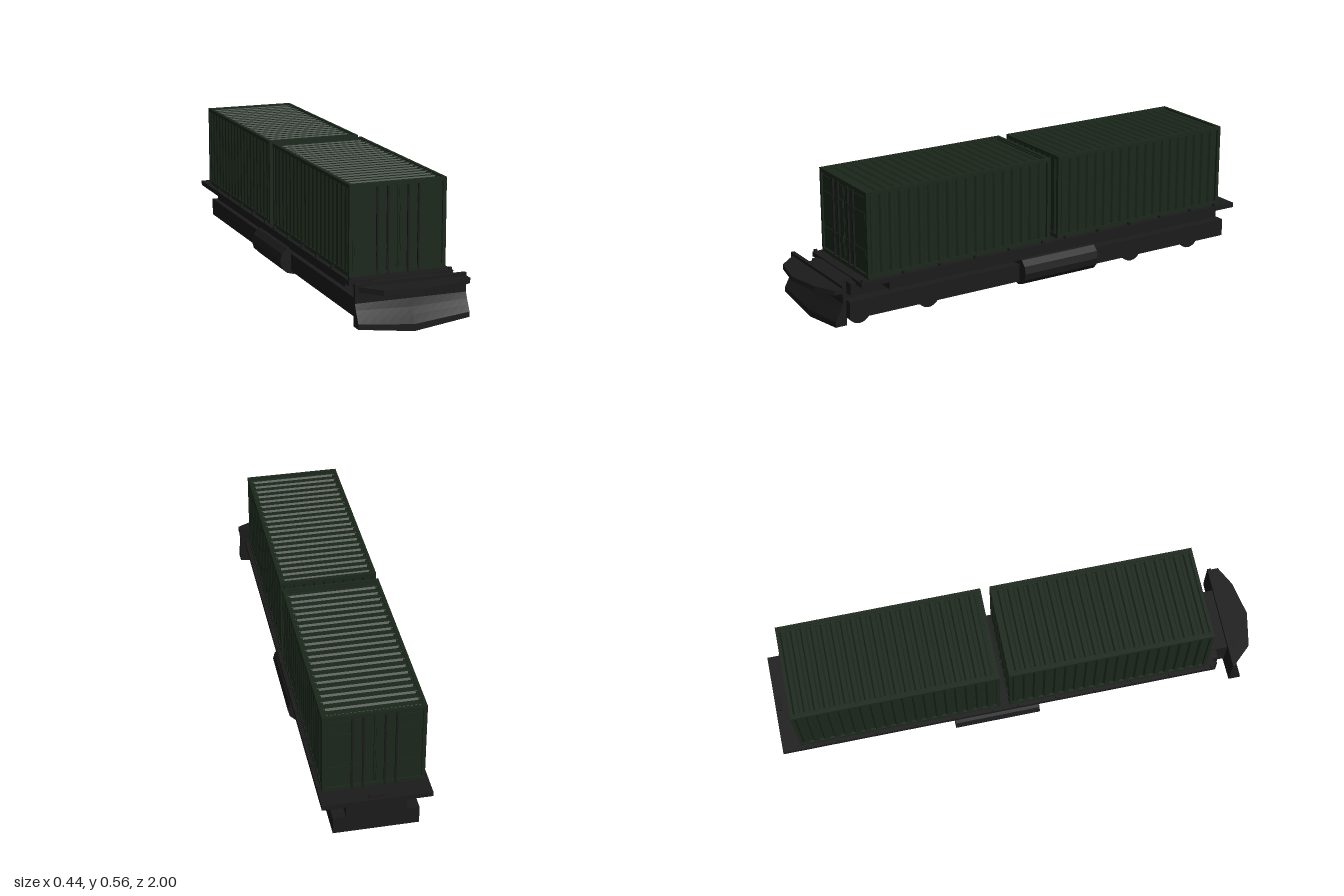
import * as THREE from 'three';

const dark = new THREE.MeshStandardMaterial({ color: 0x1b1b1b, flatShading: true });
const green = new THREE.MeshStandardMaterial({ color: 0x1b271b, flatShading: true });
const X = new THREE.Vector3(1, 0, 0), Y = new THREE.Vector3(0, 1, 0), Z = new THREE.Vector3(0, 0, 1);

function add(parent, name, geo, mat) {
  const mesh = new THREE.Mesh(geo, mat);
  mesh.name = name;
  parent.add(mesh);
  return mesh;
}

// Box given by its limits on each axis
function box(parent, name, mat, x0, x1, y0, y1, z0, z1) {
  const mesh = add(parent, name, new THREE.BoxGeometry(x1 - x0, y1 - y0, z1 - z0), mat);
  mesh.position.set((x0 + x1) / 2, (y0 + y1) / 2, (z0 + z1) / 2);
  return mesh;
}

// Extrude a 2D outline whose axes u and v point in given directions
function extrude(points, depth, u, v, origin, steps = 1) {
  const shape = new THREE.Shape(points.map(p => new THREE.Vector2(p[0], p[1])));
  const geo = new THREE.ExtrudeGeometry(shape, { depth, steps, bevelEnabled: false });
  const w = new THREE.Vector3().crossVectors(u, v);
  geo.applyMatrix4(new THREE.Matrix4().makeBasis(u, v, w));
  geo.translate(...origin);
  return geo;
}

// Trapezoid ribs along u, centred on u = 0, rising to v = 0
function ribs(length, count, depth) {
  const pts = [[-length / 2, -0.02]], step = length / count;
  for (let i = 0; i < count; i++) {
    const s = -length / 2 + i * step;
    pts.push([s, -depth], [s + step * 0.3, -depth], [s + step * 0.45, 0], [s + step * 0.85, 0]);
  }
  pts.push([length / 2, -depth], [length / 2, -0.02]);
  return pts.reverse();
}

function container() {
  const g = new THREE.Group();
  const W = 0.195, L = 0.415, y0 = 0.212, y1 = 0.56, t = 0.014;
  const negX = X.clone().negate(), negZ = Z.clone().negate();
  box(g, 'containerFloor', green, -W + t, W - t, y0, y0 + 0.015, -L + t, L - t);

  // Edge frame
  for (const sx of [-1, 1]) {
    const a = sx * W, b = sx * (W - t), lo = Math.min(a, b), hi = Math.max(a, b);
    for (const [p, q] of [[y0, y0 + 0.016], [y1 - t, y1]])
      box(g, 'sideRail', green, lo, hi, p, q, -L, L);
    for (const sz of [-1, 1]) {
      const zc = sz * (L - t / 2);
      box(g, 'cornerPost', green, lo, hi, y0, y1, zc - t / 2, zc + t / 2);
    }
  }
  for (const sz of [-1, 1]) {
    const zc = sz * (L - t / 2);
    for (const [p, q] of [[y0, y0 + 0.016], [y1 - t, y1]])
      box(g, 'endRail', green, -W, W, p, q, zc - t / 2, zc + t / 2);
  }

  // Ribbed sides, roof and inner end
  const len = 2 * (L - t), h = y1 - y0 - 0.01;
  const side = ribs(len, 19, 0.008);
  add(g, 'leftWall', extrude(side, h, Z, X, [W - 0.002, y0 + 0.005, 0]), green);
  add(g, 'rightWall', extrude(side, h, negZ, negX, [-W + 0.002, y0 + 0.005, 0]), green);
  add(g, 'roof', extrude(ribs(len, 20, 0.007), 2 * (W - t), Z, Y, [W - t, y1 - 0.004, 0]), green);
  add(g, 'endWall', extrude(ribs(2 * (W - t), 9, 0.008), h, X, negZ, [0, y0 + 0.005, -L + 0.002]), green);

  // Double doors with raised panels and locking bars
  for (const s of [-1, 1]) {
    const door = new THREE.Group();
    door.name = 'door';
    g.add(door);
    const span = (name, a, b, p, q, z0, z1, mat = green) =>
      box(door, name, mat, Math.min(s * a, s * b), Math.max(s * a, s * b), p, q, z0, z1);
    span('doorLeaf', 0.001, W - t, y0 + 0.012, y1 - 0.012, L - 0.02, L - 0.008);
    span('doorPanel', 0.007, 0.178, 0.234, 0.533, L - 0.008, L - 0.005);
    for (const y of [0.293, 0.443])
      span('doorBand', 0.011, 0.173, y, y + 0.03, L - 0.005, L - 0.002);
    for (const x of [0.041, 0.083])
      span('lockingBar', x - 0.0035, x + 0.0035, y0, 0.545, L - 0.005, L + 0.003, dark);
  }
  return g;
}

export function createModel() {
  const model = new THREE.Group();
  model.name = 'containerWagon';

  // Deck and underframe
  box(model, 'deck', dark, -0.21, 0.21, 0.19, 0.21, -1, 0.81);
  box(model, 'bottomSlab', dark, -0.165, 0.165, 0.052, 0.125, -0.98, 0.84);
  box(model, 'centreBeam', dark, -0.115, 0.115, 0.055, 0.19, -0.982, 0.81);
  box(model, 'frontNeck', dark, -0.13, 0.13, 0.07, 0.205, 0.8, 0.89);
  box(model, 'frontStep', dark, -0.165, 0.165, 0.15, 0.2, 0.8, 0.835);
  box(model, 'sideSill', dark, -0.17, 0.17, 0.145, 0.195, -0.88, 0.67);
  box(model, 'rearCatch', dark, -0.03, 0.03, 0.2, 0.22, -0.99, -0.975);

  // Side tanks
  for (const s of [-1, 1]) {
    const tank = add(model, 'sideTank', new THREE.CylinderGeometry(0.059, 0.059, 0.355, 12), dark);
    tank.rotation.x = Math.PI / 2;
    tank.position.set(s * 0.152, 0.096, -0.108);
  }

  // Wheels and axles
  for (const z of [0.765, 0.455, -0.54, -0.85]) {
    for (const s of [-1, 1]) {
      const wheel = add(model, 'wheel', new THREE.CylinderGeometry(0.05, 0.05, 0.014, 24), dark);
      wheel.rotation.z = Math.PI / 2;
      wheel.position.set(s * 0.09, 0.05, z);
    }
    const axle = add(model, 'axle', new THREE.CylinderGeometry(0.012, 0.012, 0.18, 8), dark);
    axle.rotation.z = Math.PI / 2;
    axle.position.set(0, 0.066, z);
  }

  // Front blade: leaning profile, lower edge dropping to the middle
  const profile = [[0.883, 0.222], [0.883, 0.06], [0.93, 0.06], [0.93, 0.08], [0.917, 0.105],
    [0.906, 0.125], [0.896, 0.148], [0.898, 0.222]];
  const blade = extrude(profile, 0.444, Z, Y, [0.222, 0, 0], 12);
  const pos = blade.attributes.position;
  for (let i = 0; i < pos.count; i++) {
    const drop = THREE.MathUtils.clamp((0.148 - pos.getY(i)) / 0.088, 0, 1) * 0.03;
    pos.setY(i, pos.getY(i) - drop * (1 - Math.abs(pos.getX(i)) / 0.222));
  }
  blade.computeVertexNormals();
  add(model, 'frontBlade', blade, dark);

  // Pointed shelf over the blade
  const lip = [[-0.222, 0.883], [0.222, 0.883], [0.222, 0.93], [0.14, 0.972], [0, 1], [-0.14, 0.972]];
  add(model, 'frontShelf', extrude(lip, 0.02, X, Z, [0, 0.21, 0]), dark);

  // Two containers, doors facing outward
  const front = container(), rear = container();
  front.name = 'frontContainer';
  front.position.z = 0.358;
  rear.name = 'rearContainer';
  rear.rotation.y = Math.PI;
  rear.position.z = -0.51;
  model.add(front, rear);

  // Container locks along the deck edge
  for (const z of [0.8, 0.62, 0.46, 0.3, 0.14, -0.02, -0.13, -0.29, -0.45, -0.61, -0.77, -0.9])
    for (const s of [-1, 1])
      box(model, 'deckLock', dark, s * 0.201 - 0.006, s * 0.201 + 0.006, 0.2, 0.22, z - 0.006, z + 0.006);

  return model;
}
